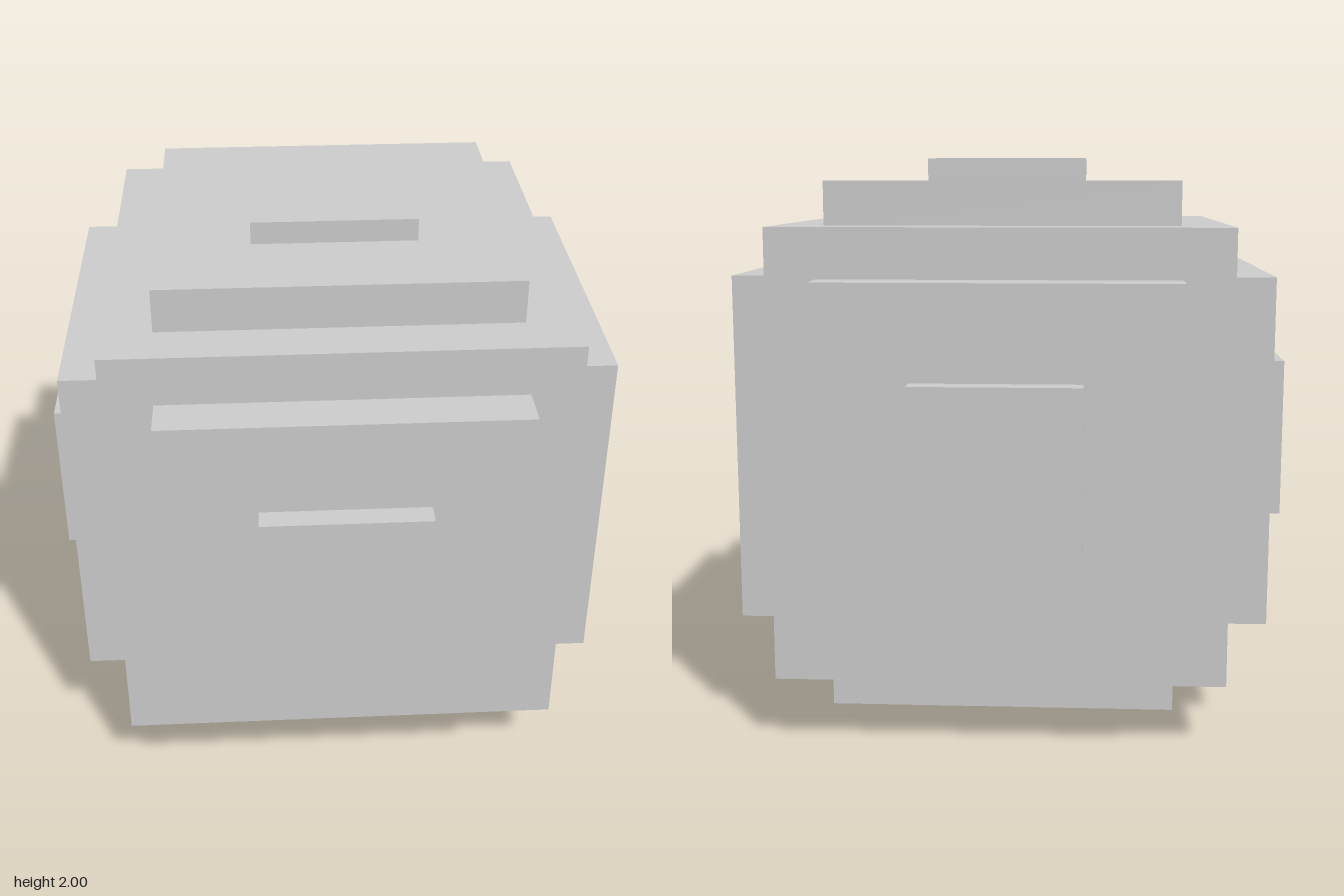
import * as THREE from 'three';

const CORE = 0.772; // half size of the core cube
// Stepped plates on every face: half width, inner and outer distance from the centre
const PLATES = [
  { name: 'widePlate', half: 0.602, from: CORE, to: 0.922 },
  { name: 'smallPlate', half: 0.281, from: 0.922, to: 1 },
];
const SIDES = [
  { name: 'front', rotation: [0, 0, 0] },
  { name: 'back', rotation: [0, Math.PI, 0] },
  { name: 'left', rotation: [0, Math.PI / 2, 0] },
  { name: 'right', rotation: [0, -Math.PI / 2, 0] },
  { name: 'top', rotation: [-Math.PI / 2, 0, 0] },
  { name: 'bottom', rotation: [Math.PI / 2, 0, 0] },
];

export function createModel() {
  const model = new THREE.Group();
  model.name = 'steppedBall';
  const material = new THREE.MeshStandardMaterial({ color: 0xcccccc, flatShading: true });

  const addBox = (parent, name, width, depth, z) => {
    const mesh = new THREE.Mesh(new THREE.BoxGeometry(width, width, depth), material);
    mesh.name = name;
    mesh.position.z = z;
    parent.add(mesh);
  };

  // Body centred one unit above the ground
  const body = new THREE.Group();
  body.name = 'body';
  body.position.y = 1;
  model.add(body);

  addBox(body, 'core', CORE * 2, CORE * 2, 0);

  // The same two plates stacked outward on each of the six faces
  for (const { name, rotation } of SIDES) {
    const side = new THREE.Group();
    side.name = `${name}Side`;
    side.rotation.set(...rotation);
    for (const p of PLATES) {
      addBox(side, p.name, p.half * 2, p.to - p.from, (p.from + p.to) / 2);
    }
    body.add(side);
  }
  return model;
}
